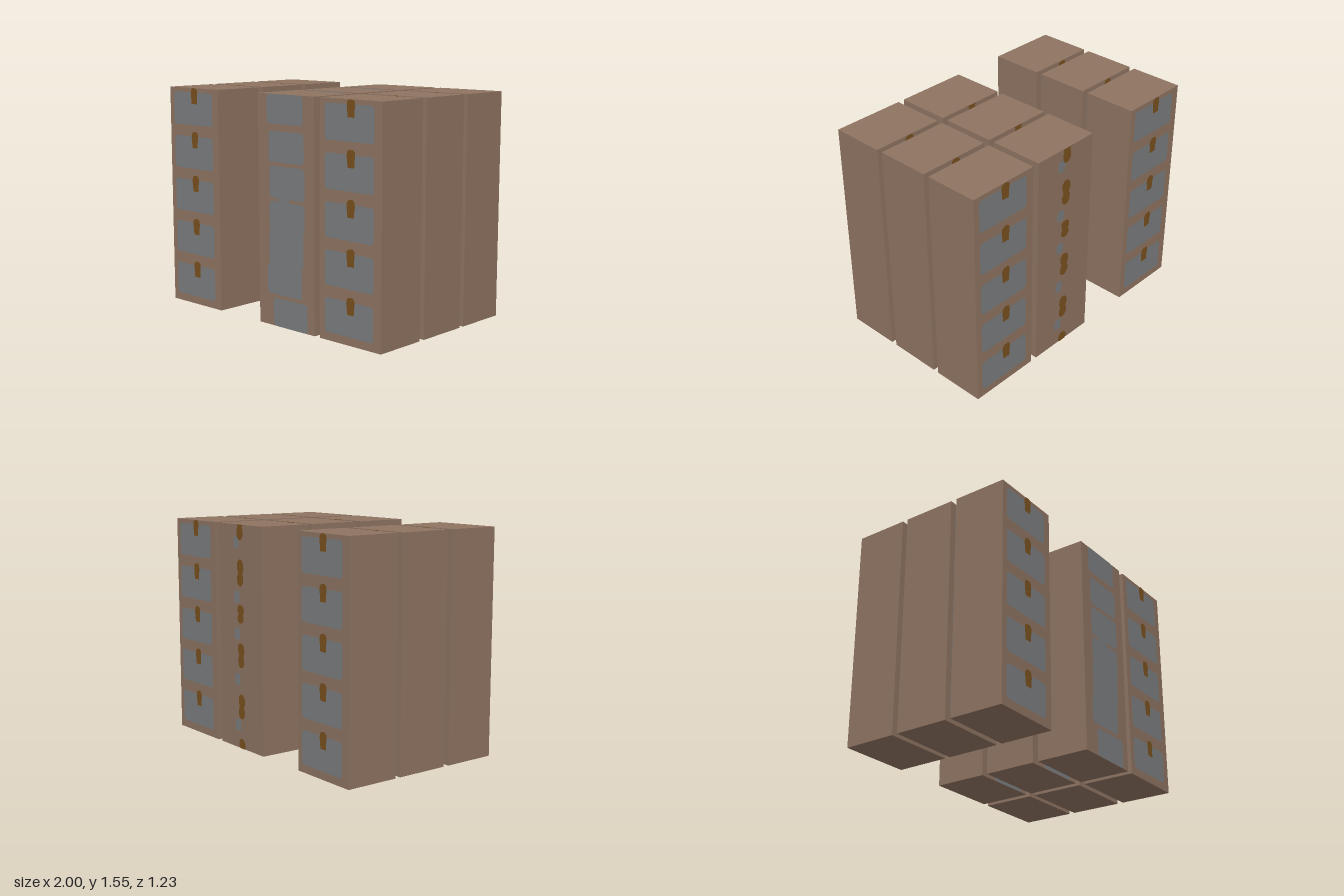
import * as THREE from 'three';

const W = 0.517, H = 1.555, D = 0.38;

// Rounded rectangle in face coordinates: u from the left edge, y from the floor
function patch(u0, y0, u1, y1, r) {
  const s = new THREE.Shape();
  s.moveTo(u0 + r, y0);
  s.lineTo(u1 - r, y0);
  s.quadraticCurveTo(u1, y0, u1, y0 + r);
  s.lineTo(u1, y1 - r);
  s.quadraticCurveTo(u1, y1, u1 - r, y1);
  s.lineTo(u0 + r, y1);
  s.quadraticCurveTo(u0, y1, u0, y1 - r);
  s.lineTo(u0, y0 + r);
  s.quadraticCurveTo(u0, y0, u0 + r, y0);
  return s;
}

// Irregular outline from a few points, cut off at the top and bottom edges
function outline(points, u, y, height = 1) {
  return new THREE.Shape(points.map(([a, b]) =>
    new THREE.Vector2(u + a, THREE.MathUtils.clamp(y + b * height, 0, H))));
}

const HANDLE = [[-0.026, 0], [0.03, 0], [0.032, 0.05], [0.037, 0.065], [0.034, 0.1], [0.018, 0.115],
  [-0.012, 0.113], [-0.03, 0.1], [-0.034, 0.07], [-0.03, 0.045]];
const BLOB = [[-0.012, 0], [0.015, 0.02], [0.036, 0.18], [0.036, 0.36], [0.026, 0.48], [0.04, 0.64],
  [0.038, 0.84], [0.018, 0.98], [-0.016, 1], [-0.036, 0.88], [-0.038, 0.66], [-0.026, 0.5], [-0.038, 0.34], [-0.036, 0.12]];

export function createModel() {
  const model = new THREE.Group();
  model.name = 'cabinetBlock';
  const material = (name, color) => new THREE.MeshStandardMaterial({ name, color });
  const wood = material('woodBrown', 0x8d7361);
  const grey = material('panelGrey', 0x7a7c7d);
  const rust = material('handleBrown', 0x78501e);

  const paint = (name, shapes, mat, lift) => {
    const geometry = new THREE.ShapeGeometry(shapes, 4).translate(-W / 2, 0, D / 2 + lift);
    const mesh = new THREE.Mesh(geometry, mat);
    mesh.name = name;
    return mesh;
  };

  // Drawer face: five grey panels, each with a handle
  function drawerFace() {
    const face = new THREE.Group();
    face.name = 'drawerFace';
    const panels = [], handles = [];
    for (let i = 0; i < 5; i++) {
      const y = 0.055 + i * 0.31;
      panels.push(patch(0.044, y, 0.455, y + 0.23, 0.025));
      handles.push(outline(HANDLE, 0.265, 0.2 + i * 0.311));
    }
    face.add(paint('drawerPanels', panels, grey, 0.002), paint('drawerHandles', handles, rust, 0.004));
    return face;
  }

  // Front of the middle column: a stack of uneven grey panels
  function stackFace() {
    const face = new THREE.Group();
    face.name = 'stackFace';
    const panels = [
      [0.135, 0, 0.455, 0.195], [0.083, 0.22, 0.403, 0.43], [0.1, 0.425, 0.418, 0.66],
      [0.104, 0.65, 0.43, 0.85], [0.19, 0.845, 0.29, 0.875], [0.104, 0.87, 0.43, 1.085],
      [0.1, 1.11, 0.425, 1.315], [0.085, 1.36, 0.415, H],
    ].map(([a, b, c, d]) => patch(a, b, c, d, Math.min(0.03, (d - b) / 3)));
    face.add(paint('stackPanels', panels, grey, 0.002));
    return face;
  }

  // Back of the middle column: rust blobs with small grey marks below them
  function blobFace() {
    const face = new THREE.Group();
    face.name = 'blobFace';
    const blobs = [[-0.1, 0.17], [0.21, 0.175], [0.57, 0.175], [0.88, 0.13], [1.135, 0.185], [1.45, 0.18]]
      .map(([y, h]) => outline(BLOB, 0.265, y, h));
    const marks = [0.165, 0.49, 0.81, 1.065, 1.44]
      .map((y) => patch(0.185, y - 0.045, 0.25, y + 0.04, 0.025));
    face.add(paint('greyMarks', marks, grey, 0.002), paint('rustBlobs', blobs, rust, 0.004));
    return face;
  }

  // Three columns, each three cabinets deep
  const columns = [
    { name: 'right', x: -0.7415, front: drawerFace, back: drawerFace },
    { name: 'middle', x: 0.176, front: stackFace, back: blobFace },
    { name: 'left', x: 0.7415, front: drawerFace, back: drawerFace },
  ];
  for (const { name, x, front, back } of columns) {
    [0.421, -0.002, -0.423].forEach((z, row) => {
      const cabinet = new THREE.Group();
      cabinet.name = `${name}Cabinet${row + 1}`;
      const body = new THREE.Mesh(new THREE.BoxGeometry(W, H, D).translate(0, H / 2, 0), wood);
      body.name = 'cabinetBody';
      const backFace = back();
      backFace.rotation.y = Math.PI;
      cabinet.add(body, front(), backFace);
      cabinet.position.set(x, 0, z);
      model.add(cabinet);
    });
  }
  return model;
}
